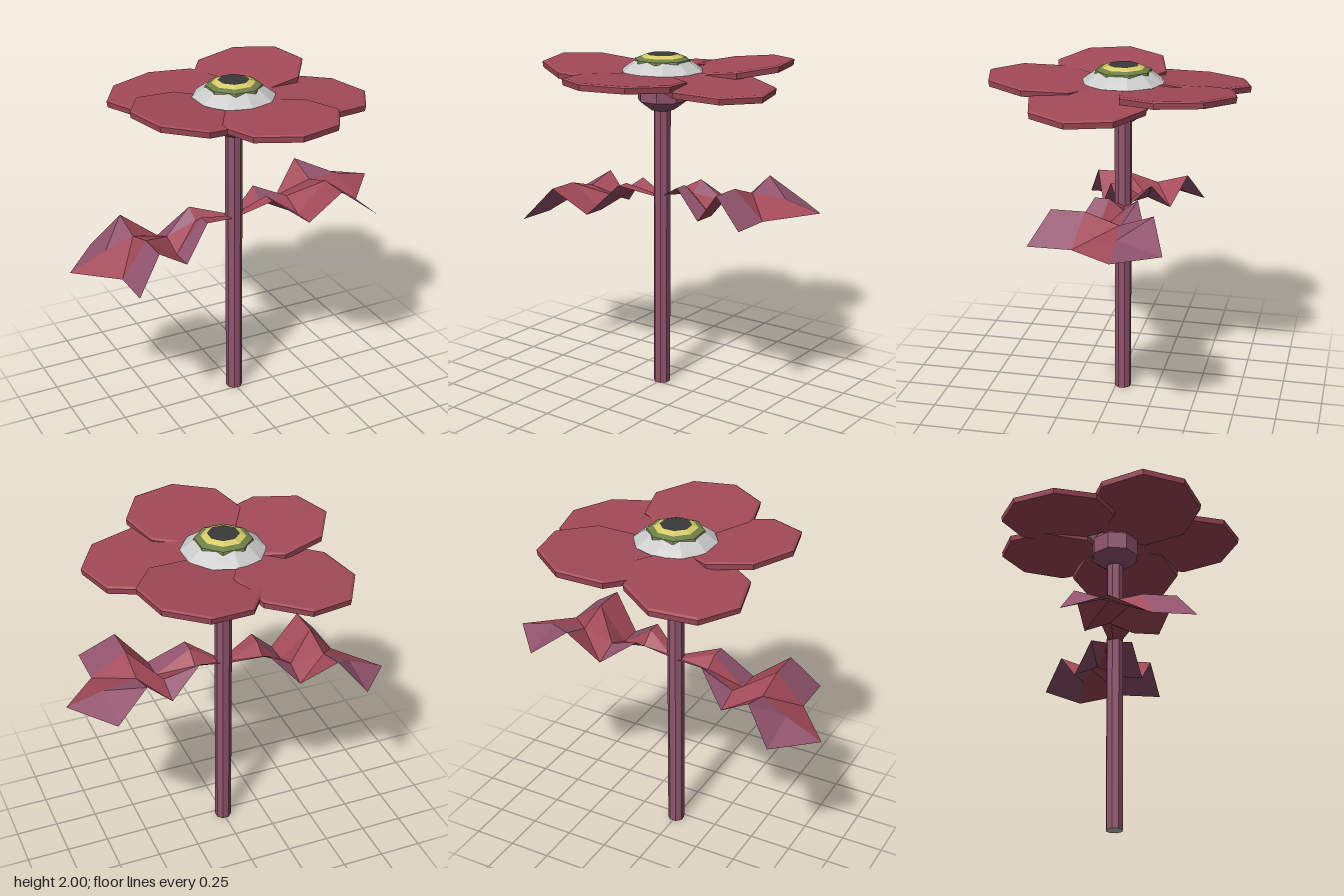
import * as THREE from 'three';

const RED = 0xa34a58, PURPLE = 0x92546e, AXIS_Z = -0.04;

function mat(color) {
  return new THREE.MeshStandardMaterial({ color, flatShading: true, side: THREE.DoubleSide });
}

// Faceted turned part from [radius, y] pairs listed bottom to top
function lathe(name, profile, sides, color, phase = 0) {
  const points = profile.map(([r, y]) => new THREE.Vector2(r, y));
  const mesh = new THREE.Mesh(new THREE.LatheGeometry(points, sides, phase), mat(color));
  mesh.name = name;
  return mesh;
}

// Octagonal bevelled slab, sheared to its slope
function petal({ at, slope, turn }) {
  const mesh = lathe('petal',
    [[0, -0.02], [0.335, -0.02], [0.34, 0.013], [0.325, 0.021], [0, 0.021]],
    8, RED, THREE.MathUtils.degToRad(90 - turn));
  const p = mesh.geometry.attributes.position;
  for (let i = 0; i < p.count; i++) {
    p.setY(i, p.getY(i) + slope[0] * p.getX(i) + slope[1] * p.getZ(i));
  }
  mesh.position.set(...at);
  return mesh;
}

// Folded leaf: each station [x, edgeY, ribY, width] carries four points across
function leaf(name, side, stations, tip) {
  const group = new THREE.Group();
  group.name = name;
  const rows = stations.map(([x, edgeY, ribY, width]) => [0, 1, 2, 3].map(j =>
    [side * x, j === 1 ? ribY : edgeY, AXIS_Z + (j - 1.5) * width / 3]));
  const faces = { [RED]: [], [PURPLE]: [] };
  const add = (color, a, b, c) =>
    faces[color].push(...(side > 0 ? [...a, ...b, ...c] : [...a, ...c, ...b]));
  for (let i = 0; i < rows.length - 1; i++) {
    for (let j = 0; j < 3; j++) {
      // outer strips are purple where the leaf falls away from the stem
      const falling = rows[i + 1][j][1] < rows[i][j][1];
      const color = falling && j !== 1 ? PURPLE : RED;
      const [a, b, c, d] = [rows[i][j], rows[i][j + 1], rows[i + 1][j + 1], rows[i + 1][j]];
      add(color, a, b, c);
      add(color, a, c, d);
    }
  }
  // pointed end
  const end = rows[rows.length - 1];
  add(PURPLE, end[0], end[1], tip);
  add(RED, end[1], end[2], tip);
  for (const [color, list] of Object.entries(faces)) {
    const geo = new THREE.BufferGeometry();
    geo.setAttribute('position', new THREE.Float32BufferAttribute(list, 3));
    geo.computeVertexNormals();
    const mesh = new THREE.Mesh(geo, mat(Number(color)));
    mesh.name = Number(color) === RED ? 'leafBlade' : 'leafEdge';
    group.add(mesh);
  }
  return group;
}

export function createModel() {
  const flower = new THREE.Group();
  flower.name = 'flower';

  // Stem, cup and flower centre share one axis
  const core = new THREE.Group();
  core.name = 'stemAndCentre';
  core.position.z = AXIS_Z;
  const half = Math.PI / 8;
  core.add(
    lathe('stem', [[0.05, 0], [0.05, 1.7]], 8, PURPLE, half),
    lathe('stemEnd', [[0, 0], [0.05, 0]], 8, 0xcccccc, half),
    lathe('cup', [[0.05, 1.675], [0.07, 1.68], [0.145, 1.735], [0.145, 1.84], [0.11, 1.88]], 8, PURPLE, half),
    lathe('centreDome', [[0.12, 1.88], [0.24, 1.905], [0.2, 1.935], [0.14, 1.975]], 10, 0xcccccc),
    lathe('greenRing', [[0.165, 1.955], [0.16, 1.971], [0.125, 1.985]], 8, 0x6f8048, half),
    lathe('yellowRing', [[0.125, 1.985], [0.09, 2]], 8, 0xd8cc66, half),
    lathe('darkTip', [[0.09, 2], [0, 2]], 8, 0x3a3a3a, half),
  );
  flower.add(core);

  // Five overlapping petals
  const petals = new THREE.Group();
  petals.name = 'petals';
  [
    { at: [0.06, 1.90, 0.40], slope: [0.01, 0.065], turn: 8 },
    { at: [-0.33, 1.90, 0.10], slope: [-0.12, 0], turn: 8 },
    { at: [-0.265, 1.855, -0.405], slope: [0.1, 0.055], turn: 8 },
    { at: [0.27, 1.90, -0.395], slope: [0.1, -0.04], turn: 12 },
    { at: [0.43, 1.866, 0.07], slope: [-0.07, 0], turn: 8 },
  ].forEach(p => petals.add(petal(p)));
  flower.add(petals);

  // Zigzag leaves, the right one drooping
  flower.add(
    leaf('leftLeaf', 1, [
      [0.03, 1.175, 1.17, 0.08], [0.19, 1.265, 1.2, 0.25], [0.39, 1.12, 1.18, 0.42],
      [0.56, 1.31, 1.245, 0.57], [0.76, 1.16, 1.235, 0.74],
    ], [0.98, 1.185, -0.17]),
    leaf('rightLeaf', -1, [
      [0.03, 1.165, 1.16, 0.08], [0.23, 1.215, 1.16, 0.25], [0.4, 1.03, 1.085, 0.42],
      [0.6, 1.175, 1.12, 0.57], [0.76, 0.98, 1.05, 0.74],
    ], [-0.98, 0.955, -0.17]),
  );
  return flower;
}
